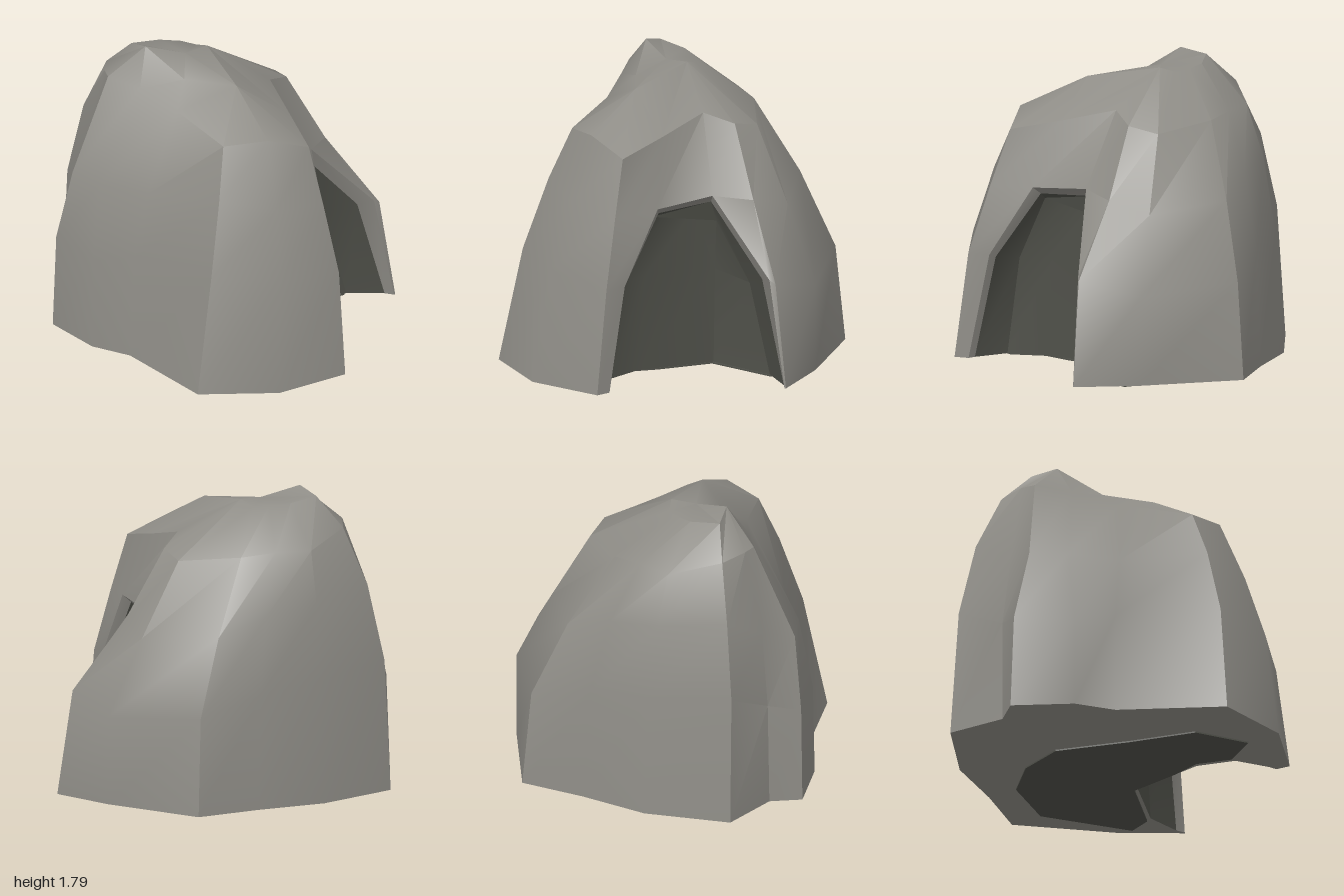
import * as THREE from 'three';
import { toCreasedNormals } from 'three/addons/utils/BufferGeometryUtils.js';

// Each column is an upright edge of the rock, listed from the ground up.
const frontColumns = [
  [[-0.02, 0.02, 1.0], [0.0, 0.65, 0.92], [-0.01, 1.05, 0.79], [-0.02, 1.39, 0.67]],
  [[-0.48, 0.02, 0.94], [-0.4, 0.7, 0.86], [-0.33, 1.1, 0.74], [-0.27, 1.48, 0.59]],
  [[-0.86, 0.02, 0.64], [-0.72, 0.72, 0.6], [-0.59, 1.15, 0.52], [-0.48, 1.45, 0.43]],
];
const sideColumns = [
  [[-0.82, 0.02, -0.02], [-0.79, 0.65, -0.02], [-0.7, 1.05, 0], [-0.47, 1.52, 0]],
  [[-0.91, 0.02, -0.26], [-0.9, 0.58, -0.26], [-0.82, 1.04, -0.3], [-0.52, 1.58, -0.28]],
  [[-0.89, 0.02, -0.64], [-0.88, 0.6, -0.62], [-0.83, 1.04, -0.53], [-0.58, 1.6, -0.5]],
  [[-0.7, 0.02, -0.69], [-0.69, 0.65, -0.69], [-0.65, 1.1, -0.64], [-0.54, 1.6, -0.58]],
];
const backColumns = [
  [[-0.51, 0.02, -1.0], [-0.51, 0.8, -0.95], [-0.47, 1.25, -0.85], [-0.42, 1.58, -0.7]],
  [[0.01, 0.02, -0.95], [0, 0.75, -0.9], [-0.05, 1.2, -0.83], [-0.1, 1.5, -0.74]],
  [[0.4, 0.02, -0.78], [0.36, 0.7, -0.76], [0.25, 1.15, -0.7], [0.08, 1.5, -0.62]],
  [[0.78, 0.02, -0.65], [0.73, 0.6, -0.62], [0.52, 1.05, -0.57], [0.25, 1.48, -0.5]],
  [[0.9, 0.02, -0.03], [0.9, 0.55, -0.03], [0.68, 1.0, -0.1], [0.44, 1.44, -0.17]],
  [[0.91, 0.02, 0.37], [0.82, 0.64, 0.33], [0.57, 1.07, 0.13], [0.38, 1.48, 0]],
];
// Outer edge of the cave mouth, continued up to the brow
const mouthLeft = [[0.02, 0.02, 0.92], [0.06, 0.65, 0.8], [0.15, 1.07, 0.55], [0.09, 1.46, 0.37]];
const mouthRight = [[0.9, 0.02, 0.37], [0.78, 0.66, 0.33], [0.36, 1.1, 0.25], [0.2, 1.54, 0.06]];
// Inner edge of the cave mouth
const throatLeft = [[-0.01, 0.02, 0.88], [0.03, 0.63, 0.76], [0.13, 1.03, 0.5]];
const throatRight = [[0.87, 0.02, 0.32], [0.7, 0.64, 0.27], [0.33, 1.05, 0.21]];
// Cave wall edges, left to right
const caveColumns = [
  [[-0.1, 0.02, 0.68], [-0.08, 0.6, 0.61], [0.07, 0.99, 0.47]],
  [[-0.03, 0.02, 0.45], [0, 0.6, 0.42], [0.09, 0.97, 0.35]],
  [[0.29, 0.02, 0.1], [0.3, 0.6, 0.1], [0.21, 0.98, 0.2]],
  [[0.7, 0.02, 0.17], [0.55, 0.56, 0.14], [0.34, 0.92, 0.16]],
];

// Collects triangles, dropping those with repeated corners
function surface() {
  const points = [];
  const tri = (a, b, c) => {
    const same = (p, q) => p.every((v, i) => v === q[i]);
    if (!same(a, b) && !same(b, c) && !same(c, a)) points.push(...a, ...b, ...c);
  };
  const polygon = (ring) => {
    for (let i = 1; i < ring.length - 1; i++) tri(ring[0], ring[i], ring[i + 1]);
  };
  // Columns run from right to left as seen from the visible side
  const loft = (columns, closed = false) => {
    const n = columns.length;
    for (let i = 0; i < (closed ? n : n - 1); i++) {
      const a = columns[i], b = columns[(i + 1) % n];
      for (let j = 0; j < a.length - 1; j++) {
        tri(b[j], a[j], a[j + 1]);
        tri(b[j], a[j + 1], b[j + 1]);
      }
    }
  };
  const build = (crease) => {
    const g = new THREE.BufferGeometry();
    g.setAttribute('position', new THREE.Float32BufferAttribute(points, 3));
    return toCreasedNormals(g, crease);
  };
  return { polygon, loft, build };
}

function flatShape(points) {
  return new THREE.Shape(points.map(([x, z]) => new THREE.Vector2(x, z)));
}

export function createModel() {
  const model = new THREE.Group();
  model.name = 'caveRock';
  const stone = new THREE.MeshStandardMaterial({ color: 0x8e8c86 });
  stone.name = 'grey stone';
  const shade = new THREE.MeshStandardMaterial({ color: 0x50514a });
  shade.name = 'dark cave stone';
  const add = (name, geometry, material) => {
    const mesh = new THREE.Mesh(geometry, material);
    mesh.name = name;
    model.add(mesh);
    return mesh;
  };

  // Outer walls, brow over the mouth and rounded crown
  const shell = [...frontColumns, ...sideColumns, ...backColumns];
  const walls = [mouthLeft, ...shell, mouthRight];
  const rock = surface();
  rock.loft(walls);
  rock.polygon([mouthLeft[2], mouthRight[2], mouthRight[3], mouthLeft[3]]);
  const nose = [-0.18, 1.67, 0.2], knob = [-0.05, 1.74, -0.22], peak = [-0.4, 1.79, -0.37];
  const crest = [
    nose, nose, nose, nose, [-0.33, 1.65, -0.1], peak, peak, peak, [-0.38, 1.75, -0.52],
    [-0.2, 1.73, -0.48], [-0.1, 1.72, -0.4], [-0.05, 1.71, -0.32], knob, knob, knob,
  ];
  rock.loft(walls.map((c, i) => [c[3], crest[i], [-0.2, 1.73, -0.24]]), true);
  add('rockShell', rock.build(0.6), stone);

  // Thin stone rim turning into the mouth
  const rim = surface();
  rim.loft([throatLeft, mouthLeft.slice(0, 3)]);
  rim.loft([mouthRight.slice(0, 3), throatRight]);
  rim.polygon([throatLeft[2], throatRight[2], mouthRight[2], mouthLeft[2]]);
  add('mouthRim', rim.build(0.5), stone);

  // Cave walls and ceiling
  const cave = surface();
  cave.loft([throatLeft, ...caveColumns, throatRight].reverse());
  cave.polygon([...caveColumns.map((c) => c[2]), throatRight[2], throatLeft[2]]);
  add('caveLining', cave.build(0.5), shade);

  // Underside, following the outline and the cave floor edge
  const foot = [...walls, throatRight, ...[...caveColumns].reverse(), throatLeft];
  const base = new THREE.ShapeGeometry(flatShape(foot.map((c) => [c[0][0], c[0][2]])));
  base.rotateX(Math.PI / 2);
  add('underside', base, stone).position.y = 0.02;

  // Dark patch beneath, behind the cave walls
  const patch = flatShape([
    [0.83, 0.06], [0.62, -0.48], [0.25, -0.62], [-0.05, -0.56], [-0.29, -0.38], [-0.41, 0.06],
    [-0.54, 0.45], [-0.39, 0.76], [-0.16, 0.66], [-0.1, 0.45], [0.04, 0.33], [0.27, 0.08], [0.7, 0.15],
  ]);
  const plate = new THREE.ExtrudeGeometry(patch, { depth: 0.009, bevelEnabled: false });
  plate.rotateX(Math.PI / 2);
  add('undersidePatch', plate, shade).position.y = 0.009;

  return model;
}
